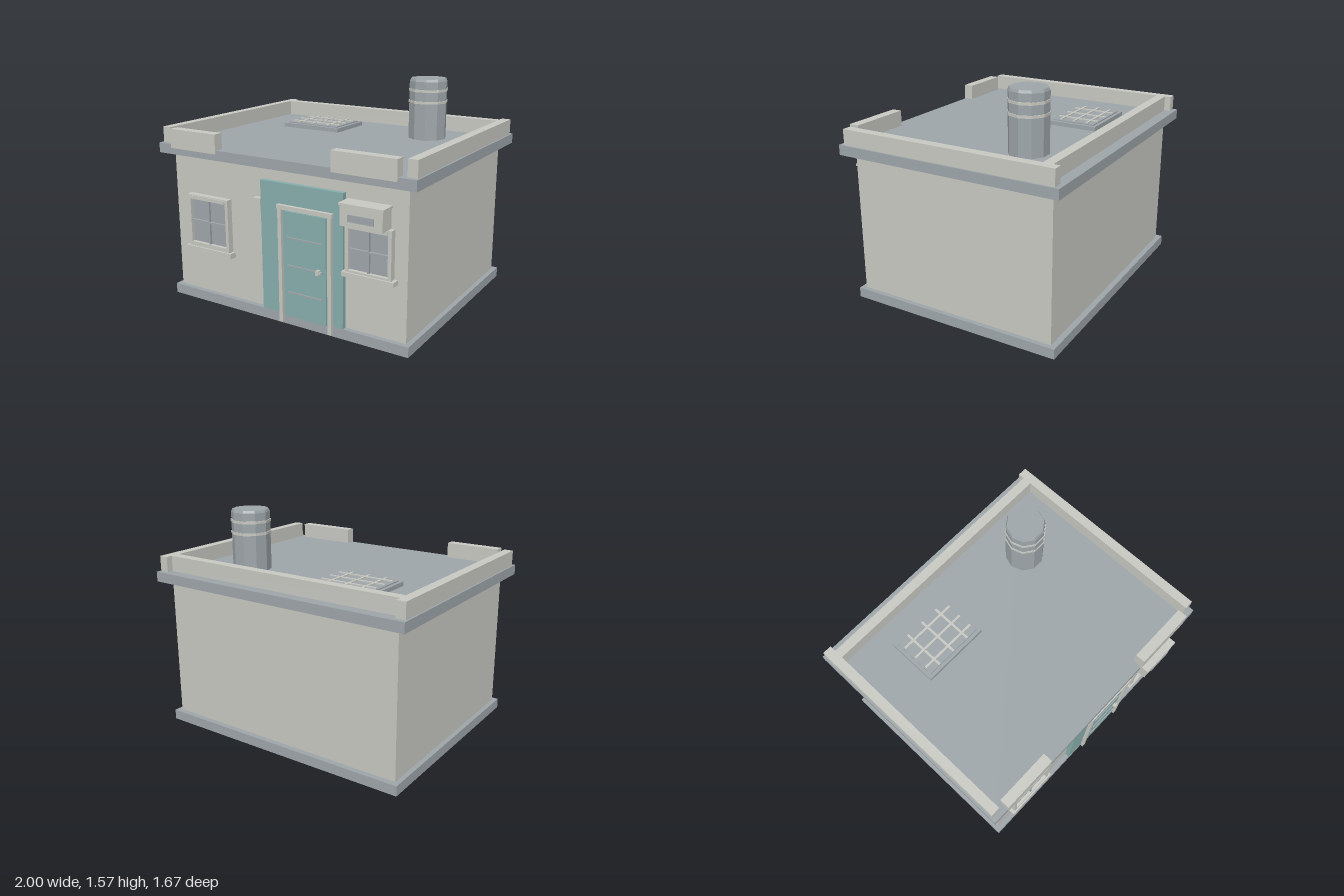
import * as THREE from 'three';

const mat = (name, color) => {
  const m = new THREE.MeshStandardMaterial({ color });
  m.name = name;
  return m;
};

export function createModel() {
  const plaster = mat('plaster', 0xc9c9c3);
  const slate = mat('slate grey', 0x9ea6aa);
  const teal = mat('teal', 0x87aeac);
  const house = new THREE.Group();
  house.name = 'house';

  const add = (parent, name, geometry, material) => {
    const mesh = new THREE.Mesh(geometry, material);
    mesh.name = name;
    parent.add(mesh);
    return mesh;
  };
  // Box given by its limits on each axis
  const box = (parent, name, material, [x0, x1], [y0, y1], [z0, z1]) => {
    const g = new THREE.BoxGeometry(x1 - x0, y1 - y0, z1 - z0);
    g.translate((x0 + x1) / 2, (y0 + y1) / 2, (z0 + z1) / 2);
    return add(parent, name, g, material);
  };
  const group = (name) => {
    const g = new THREE.Group();
    g.name = name;
    house.add(g);
    return g;
  };

  // Shell
  box(house, 'plinth', slate, [-0.955, 0.955], [0, 0.07], [-0.8, 0.75]);
  box(house, 'walls', plaster, [-0.922, 0.922], [0.07, 1.065], [-0.76, 0.715]);
  box(house, 'roofSlab', slate, [-1, 1], [1.065, 1.135], [-0.835, 0.788]);

  // Parapets: full sides and back, two short pieces at the front
  for (const s of [-1, 1]) {
    const xs = [s * 0.922, s * 0.988].sort((a, b) => a - b);
    box(house, 'sideParapet', plaster, xs, [1.135, 1.245], [-0.803, 0.753]);
  }
  box(house, 'backParapet', plaster, [-0.922, 0.922], [1.135, 1.245], [-0.757, -0.69]);
  box(house, 'frontParapet', plaster, [-0.882, -0.482], [1.11, 1.245], [0.725, 0.795]);
  box(house, 'frontParapet', plaster, [0.428, 0.878], [1.11, 1.245], [0.725, 0.795]);

  // Water tank: ten-sided with a chamfered lid and two hoops
  const tank = group('waterTank');
  tank.position.set(0.517, 0, -0.37);
  const drum = (name, material, rTop, rBottom, y0, y1) => {
    const g = new THREE.CylinderGeometry(rTop, rBottom, y1 - y0, 10).toNonIndexed();
    g.rotateY(Math.PI / 2);
    g.translate(0, (y0 + y1) / 2, 0);
    g.computeVertexNormals();
    add(tank, name, g, material);
  };
  drum('tankBody', slate, 0.136, 0.136, 1.135, 1.548);
  drum('tankLid', slate, 0.127, 0.134, 1.548, 1.565);
  for (const y of [1.393, 1.475]) drum('tankHoop', plaster, 0.141, 0.141, y, y + 0.018);

  // Skylight with a grid of bars
  const skylight = group('skylight');
  box(skylight, 'skylightCurb', slate, [-0.615, -0.125], [1.135, 1.165], [-0.535, -0.175]);
  box(skylight, 'skylightPane', slate, [-0.59, -0.15], [1.165, 1.173], [-0.51, -0.2]);
  for (const x of [-0.5, -0.368, -0.237])
    box(skylight, 'skylightBar', plaster, [x - 0.008, x + 0.008], [1.173, 1.18], [-0.51, -0.2]);
  for (const z of [-0.455, -0.355, -0.255])
    box(skylight, 'skylightBar', plaster, [-0.58, -0.155], [1.173, 1.181], [z - 0.008, z + 0.008]);

  // Windows: frame with an opening, pane, cross bars and sill
  const makeWindow = (name, [x0, x1], [y0, y1], [gx0, gx1], [gy0, gy1], sillX, sillY) => {
    const w = group(name);
    const rect = (P, a, b, c, d) => {
      const p = new P();
      p.moveTo(a, c); p.lineTo(b, c); p.lineTo(b, d); p.lineTo(a, d); p.closePath();
      return p;
    };
    const outline = rect(THREE.Shape, x0, x1, y0, y1);
    outline.holes.push(rect(THREE.Path, gx0, gx1, gy0, gy1));
    const frame = new THREE.ExtrudeGeometry(outline, { depth: 0.045, bevelEnabled: false });
    frame.translate(0, 0, 0.715);
    add(w, 'windowFrame', frame, plaster);
    box(w, 'windowPane', slate, [gx0, gx1], [gy0, gy1], [0.715, 0.735]);
    const cx = (gx0 + gx1) / 2, cy = (gy0 + gy1) / 2;
    box(w, 'windowBar', slate, [cx - 0.006, cx + 0.006], [gy0, gy1], [0.735, 0.752]);
    box(w, 'windowBar', slate, [gx0, gx1], [cy - 0.006, cy + 0.006], [0.735, 0.754]);
    box(w, 'windowSill', plaster, sillX, sillY, [0.715, 0.772]);
    box(w, 'windowHead', plaster, [x0 + 0.025, x1 - 0.025], [y1 - 0.03, y1 - 0.005], [0.715, 0.766]);
  };
  makeWindow('rightWindow', [-0.785, -0.427], [0.41, 0.788], [-0.762, -0.45], [0.44, 0.758],
    [-0.808, -0.407], [0.372, 0.41]);
  makeWindow('leftWindow', [0.507, 0.832], [0.475, 0.795], [0.53, 0.808], [0.49, 0.762],
    [0.487, 0.856], [0.445, 0.476]);

  // Doorway
  const door = group('doorway');
  box(door, 'doorSurround', teal, [-0.147, 0.487], [0.07, 0.975], [0.715, 0.749]);
  box(door, 'doorLeaf', teal, [0.05, 0.367], [0.065, 0.795], [0.715, 0.76]);
  for (const x of [0.003, 0.385])
    box(door, 'doorPost', plaster, [x, x + 0.027], [0.015, 0.806], [0.715, 0.772]);
  box(door, 'doorHead', plaster, [-0.005, 0.42], [0.806, 0.835], [0.715, 0.774]);
  for (const y of [0.24, 0.428, 0.62])
    box(door, 'doorGroove', slate, [0.073, 0.345], [y - 0.005, y + 0.005], [0.76, 0.768]);
  box(door, 'doorHandle', plaster, [0.305, 0.327], [0.413, 0.445], [0.76, 0.788]);
  box(door, 'doorHandleKnob', plaster, [0.327, 0.34], [0.422, 0.436], [0.772, 0.785]);

  // Small wall box beside the door
  box(house, 'wallBox', plaster, [-0.21, -0.147], [0.755, 0.845], [0.715, 0.755]);

  // Air conditioner above the left window
  const cooler = group('airConditioner');
  box(cooler, 'coolerBody', plaster, [0.51, 0.805], [0.795, 0.925], [0.715, 0.825]);
  box(cooler, 'coolerCap', plaster, [0.503, 0.812], [0.925, 0.94], [0.715, 0.832]);
  box(cooler, 'coolerVent', slate, [0.567, 0.748], [0.83, 0.875], [0.825, 0.834]);

  return house;
}
